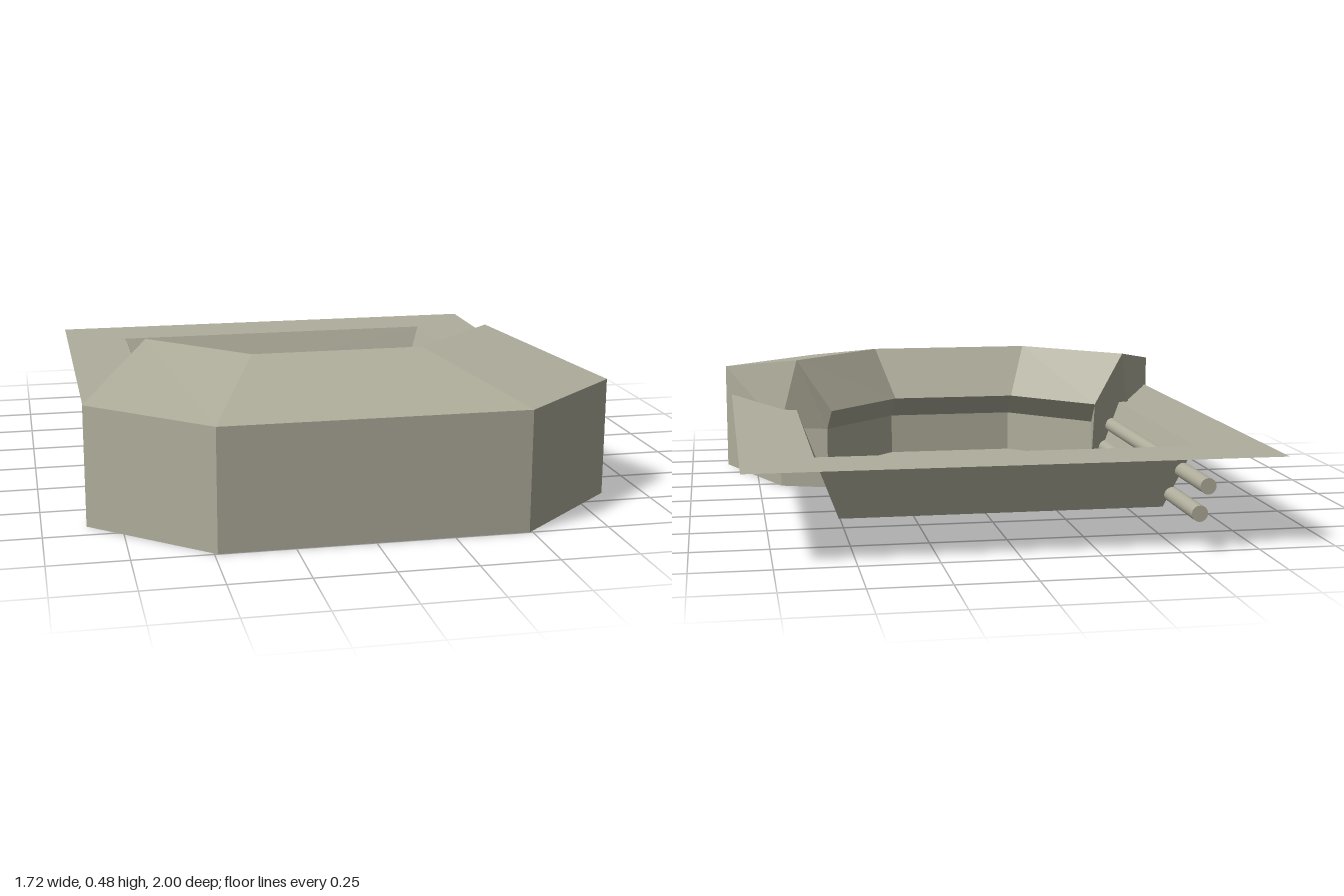
import * as THREE from 'three';

const material = new THREE.MeshStandardMaterial({ color: 0xb0ae9c, flatShading: true, side: THREE.DoubleSide });
const pipeMaterial = new THREE.MeshStandardMaterial({ color: 0xb0ae9c });

const mirror = ([x, y, z]) => [-x, y, z];

// Mesh from a list of flat convex polygons, each fanned from its first corner
function polygonMesh(name, polygons) {
  const positions = [];
  for (const p of polygons) {
    for (let i = 1; i < p.length - 1; i++) positions.push(...p[0], ...p[i], ...p[i + 1]);
  }
  const geometry = new THREE.BufferGeometry();
  geometry.setAttribute('position', new THREE.Float32BufferAttribute(positions, 3));
  geometry.computeVertexNormals();
  const mesh = new THREE.Mesh(geometry, material);
  mesh.name = name;
  return mesh;
}

// Quads joining neighbouring rows of points
function strip(rows) {
  const quads = [];
  for (let r = 0; r < rows.length - 1; r++) {
    for (let i = 0; i < rows[r].length - 1; i++) {
      quads.push([rows[r][i], rows[r][i + 1], rows[r + 1][i + 1], rows[r + 1][i]]);
    }
  }
  return quads;
}

// Angular hood wrapped around the front, open underneath
function createHood() {
  // Sections run: outer foot, outer top, ridge, lip, inner top, inner foot
  const side = [[0.86, 0, 0.67], [0.86, 0.395, 0.67], [0.61, 0.48, 0.13],
    [0.49, 0.3, 0.065], [0.5, 0.22, 0.155], [0.5, 0, 0.155]];
  const front = [[0.49, 0, 1], [0.49, 0.395, 1], [0.29, 0.48, 0.44],
    [0.225, 0.3, 0.335], [0.23, 0.22, 0.425], [0.23, 0, 0.425]];
  const faces = strip([side, front, front.map(mirror), side.map(mirror)]);

  // Side panel and end cap, mirrored to both sides
  const endFoot = [0.67, 0, 0.215], endTop = [0.67, 0.22, 0.215];
  const [foot, top, ridge, lip, innerTop, innerFoot] = side;
  for (const panel of [
    [endTop, ridge, top, foot, endFoot],
    [innerTop, lip, ridge, endTop, endFoot, innerFoot],
  ]) {
    faces.push(panel, panel.map(mirror).reverse());
  }
  return polygonMesh('hood', faces);
}

// Thin sunken tray with a wide flat flange, open towards the hood
function createTray() {
  const row = (x, y, back, frontZ) => [[x, y, frontZ], [x, y, back], [-x, y, back], [-x, y, frontZ]];
  const outer = row(0.84, 0.29, -1, 0.62);
  const rim = row(0.61, 0.29, -0.77, 0.2);
  const bottom = row(0.53, 0.075, -0.69, 0.17);

  const tray = new THREE.Group();
  tray.name = 'tray';
  const inner = [[-0.5, 0.075, 0.155], [-0.23, 0.075, 0.425], [0.23, 0.075, 0.425], [0.5, 0.075, 0.155]];
  tray.add(
    polygonMesh('trayFlange', strip([outer, rim])),
    polygonMesh('trayWalls', strip([rim, bottom])),
    polygonMesh('trayFloor', [[bottom[1], bottom[2], bottom[3], ...inner, bottom[0]]]),
  );
  return tray;
}

// Two parallel pipes running through one side of the tray
function createPipes() {
  const pipes = new THREE.Group();
  pipes.name = 'pipes';
  const back = -1, frontZ = 0.62;
  const geometry = new THREE.CylinderGeometry(0.026, 0.026, frontZ - back, 16).rotateX(Math.PI / 2);
  for (const [name, x, y] of [['upperPipe', -0.58, 0.205], ['lowerPipe', -0.555, 0.12]]) {
    const pipe = new THREE.Mesh(geometry, pipeMaterial);
    pipe.name = name;
    pipe.position.set(x, y, (back + frontZ) / 2);
    pipes.add(pipe);
  }
  return pipes;
}

export function createModel() {
  const model = new THREE.Group();
  model.name = 'model';
  model.add(createHood(), createTray(), createPipes());
  return model;
}
